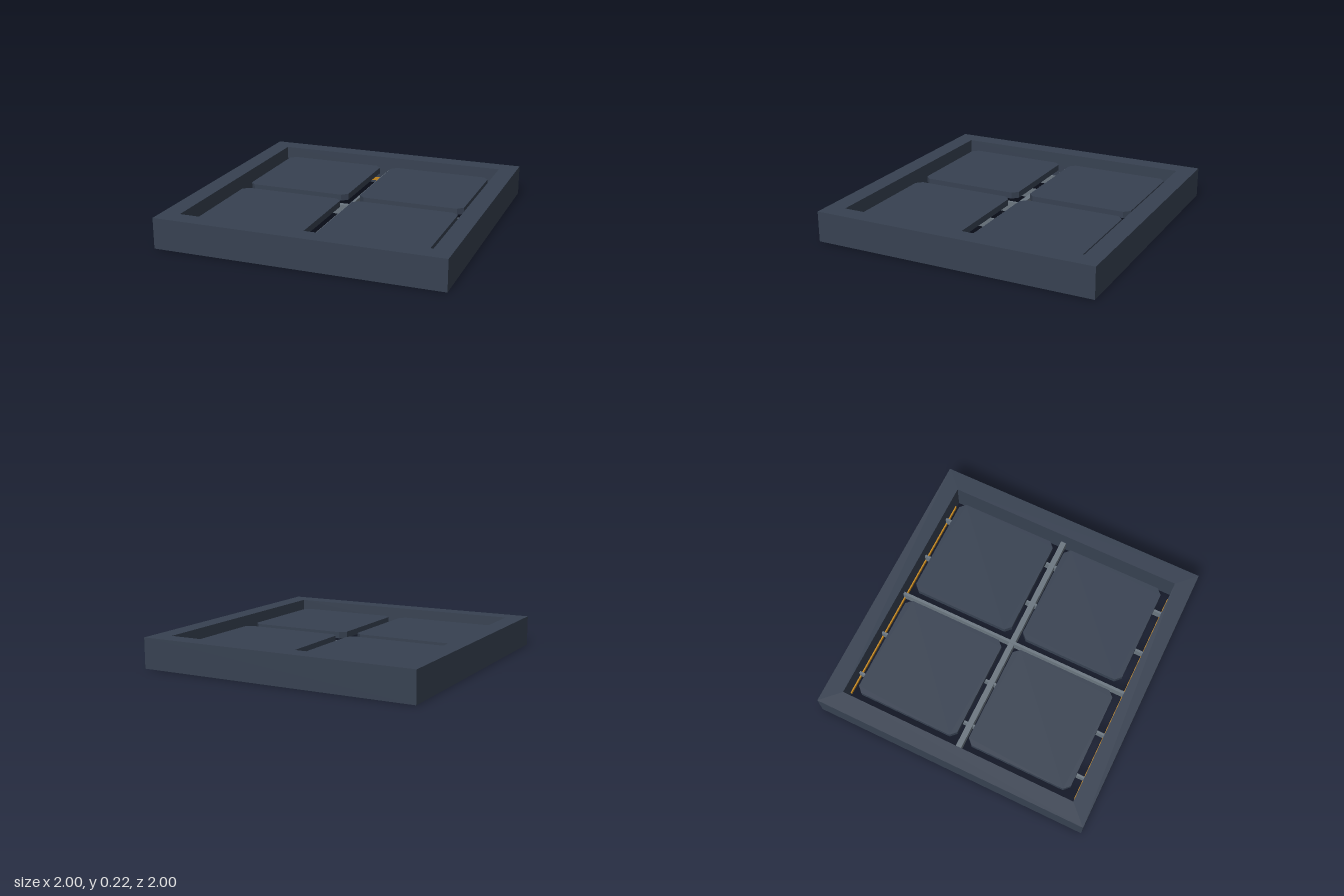
import * as THREE from 'three';

const material = (name, color) => Object.assign(new THREE.MeshStandardMaterial({ color }), { name });

export function createModel() {
  const model = new THREE.Group();
  model.name = 'panelTray';
  const slate = material('slate', 0x374151);
  const steel = material('steel', 0x6b7680);
  const beige = material('warmBeige', 0xbfb19c);
  const amber = material('amber', 0xc98a1b);

  const add = (name, geometry, mat, x, y, z) => {
    const mesh = new THREE.Mesh(geometry, mat);
    mesh.name = name;
    mesh.position.set(x, y, z);
    model.add(mesh);
    return mesh;
  };
  // box given by its bottom and top heights
  const box = (name, mat, w, d, y0, y1, x = 0, z = 0) =>
    add(name, new THREE.BoxGeometry(w, y1 - y0, d), mat, x, (y0 + y1) / 2, z);

  // square outline with cut corners
  const outline = (half, cut, Type = THREE.Shape) => {
    const c = half - cut;
    const points = cut
      ? [[c, -half], [half, -c], [half, c], [c, half], [-c, half], [-half, c], [-half, -c], [-c, -half]]
      : [[half, -half], [half, half], [-half, half], [-half, -half]];
    return new Type(points.map(([x, y]) => new THREE.Vector2(x, y)));
  };
  const slab = (shape, depth) =>
    new THREE.ExtrudeGeometry(shape, { depth, bevelEnabled: false }).rotateX(-Math.PI / 2);

  // outer frame, open in the middle
  const frame = outline(1, 0);
  frame.holes.push(outline(0.87, 0, THREE.Path));
  add('frame', slab(frame, 0.215), slate, 0, 0, 0);

  // four floating panels with pale plates underneath
  const panelGeometry = slab(outline(0.383, 0.04), 0.045);
  for (const sx of [-1, 1]) {
    for (const sz of [-1, 1]) {
      add('panel', panelGeometry, slate, sx * 0.427, 0.112, sz * 0.427);
      box('underPlate', beige, 0.566, 0.566, 0.104, 0.112, sx * 0.427, sz * 0.427);
    }
  }

  // support bars running front to back, and the cross beam
  for (const x of [-0.667, -0.333, 0.333, 0.667]) box('supportBar', steel, 0.016, 1.74, 0.03, 0.1, x);
  box('centreBar', steel, 0.02, 1.74, 0.03, 0.108);
  box('crossBeam', steel, 1.74, 0.04, 0.035, 0.104);

  // amber strips on the front and back inner walls
  for (const s of [-1, 1]) box('amberStrip', amber, 1.63, 0.009, 0.02, 0.045, 0, s * 0.8655);

  return model;
}
